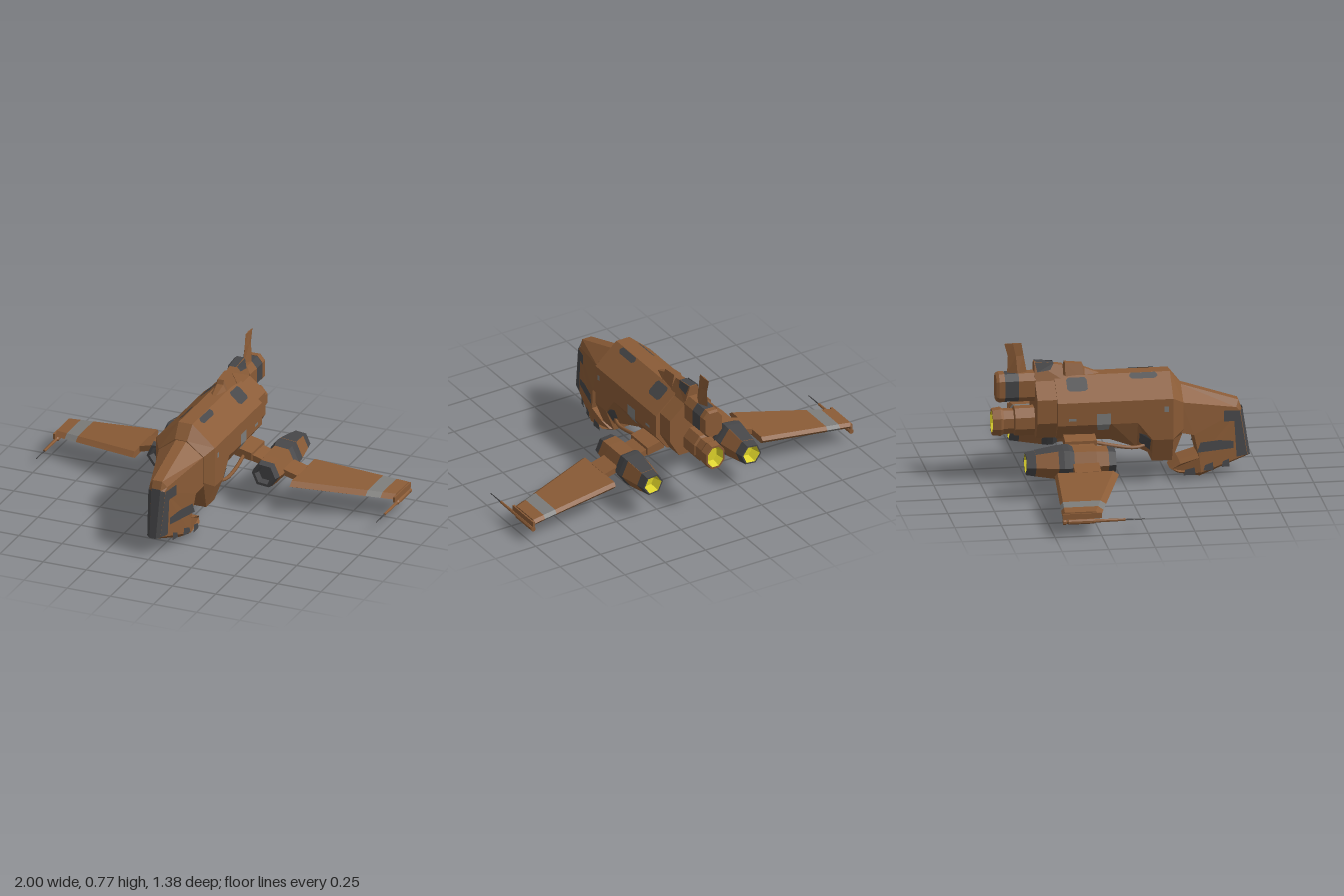
import * as THREE from 'three';

const mat = (name, color, side = THREE.FrontSide) => {
  const m = new THREE.MeshStandardMaterial({ color, side });
  m.name = name;
  return m;
};

export function createModel() {
  const model = new THREE.Group();
  const brown = mat('brown paint', 0x8a5b36);
  const dark = mat('charcoal', 0x464648, THREE.DoubleSide);
  const grey = mat('worn grey', 0x7c7c7a, THREE.DoubleSide);
  const glow = mat('engine yellow', 0xe0d52a);

  const add = (name, geo, material, parent = model) => {
    const mesh = new THREE.Mesh(geo, material);
    mesh.name = name;
    parent.add(mesh);
    return mesh;
  };
  const flat = (pos) => {
    const g = new THREE.BufferGeometry();
    g.setAttribute('position', new THREE.Float32BufferAttribute(pos, 3));
    g.computeVertexNormals();
    return g;
  };

  // Skin rings of [x, y, z] points and cap both ends; axis is the loft direction
  function loft(rings, axis) {
    const tris = [], n = rings[0].length;
    for (let r = 0; r + 1 < rings.length; r++) {
      for (let i = 0; i < n; i++) {
        const j = (i + 1) % n, a = rings[r], b = rings[r + 1];
        tris.push([a[i], a[j], b[j]], [a[i], b[j], b[i]]);
      }
    }
    const [u, v] = [[1, 2], [0, 2], [0, 1]][axis];
    const caps = (ring, flip) => {
      const pts = ring.map((p) => new THREE.Vector2(p[u], p[v]));
      const cw = THREE.ShapeUtils.isClockWise(pts);
      for (const f of THREE.ShapeUtils.triangulateShape(pts, [])) {
        const t = f.map((k) => ring[k]);
        // keep the winding of the ring itself
        const [p, q, s] = t;
        const area = (q[u] - p[u]) * (s[v] - p[v]) - (q[v] - p[v]) * (s[u] - p[u]);
        if ((area < 0) !== cw) t.reverse();
        if (flip) t.reverse();
        tris.push(t);
      }
    };
    caps(rings[0], true);
    caps(rings[rings.length - 1], false);
    // turn the solid right side out
    let vol = 0;
    const A = new THREE.Vector3(), B = new THREE.Vector3(), C = new THREE.Vector3();
    for (const [a, b, c] of tris) vol += A.fromArray(a).dot(B.fromArray(b).cross(C.fromArray(c)));
    if (vol < 0) tris.forEach((t) => t.reverse());
    return flat(tris.flat(2));
  }

  // Thin painted patch, as a fan, on both sides of the ship
  function patch(name, material, pts) {
    for (const s of [1, -1]) {
      const pos = [];
      for (let i = 1; i + 1 < pts.length; i++) {
        const t = [pts[0], pts[i], pts[i + 1]];
        pos.push(...t.flatMap(([x, y, z]) => [x * s, y, z]));
      }
      add(name, flat(pos), material);
    }
  }

  // Cross-section at z, mirrored from a half outline running top to bottom
  const section = (z, half) => [
    ...half.map(([x, y]) => [x, y, z]),
    ...half.slice().reverse().map(([x, y]) => [-x, y, z]),
  ];

  // Faceted turned part along z; points are [radius, z] from back to front
  const turned = (pts, sides = 8, sx = 1) => {
    const g = new THREE.LatheGeometry(pts.map(([r, z]) => new THREE.Vector2(r, z)), sides, Math.PI / sides)
      .rotateX(Math.PI / 2).scale(sx, 1, 1).toNonIndexed();
    g.computeVertexNormals();
    return g;
  };

  // Main hull: z, side edge height, belly half width, belly height
  const hull = [
    [0.26, 0.25, 0.12, 0.12], [0.152, 0.25, 0.12, 0.12], [0.15, 0.25, 0.12, 0.16],
    [0.07, 0.35, 0.12, 0.2], [-0.07, 0.35, 0.1, 0.245], [-0.36, 0.35, 0.1, 0.262],
  ].map(([z, low, bx, by]) => section(z, [[0.04, 0.59], [0.17, 0.475], [0.17, low], [bx, by]]));
  hull.unshift(section(0.32, [[0.035, 0.515], [0.13, 0.44], [0.13, 0.29], [0.09, 0.255]]));
  add('hull', loft(hull, 2), brown);
  const rear = [[0.04, 0.58], [0.145, 0.49], [0.145, 0.36], [0.09, 0.266]];
  add('rearHull', loft([section(-0.35, rear), section(-0.465, rear)], 2), brown);

  // Nose and drooping chin: [z, y] of the centre strip and of the sunken side face
  const w = (z) => (z < 0.35 ? 0.13 : 0.13 - (z - 0.32) * 0.27);
  const sideX = (z, y) => (y < 0.15 ? Math.min(w(z), 0.1, 0.02 + (z - 0.2) * 0.9) : w(z));
  const centre = [[0.31, 0.515], [0.63, 0.41], [0.648, 0.36], [0.69, 0.1], [0.42, 0], [0.3, 0.022],
    [0.258, 0.05], [0.31, 0.09], [0.41, 0.12], [0.38, 0.25], [0.31, 0.27]];
  const flank = [[0.31, 0.44], [0.615, 0.375], [0.635, 0.355], [0.675, 0.105], [0.42, 0.035], [0.3, 0.045],
    [0.265, 0.055], [0.31, 0.088], [0.41, 0.118], [0.38, 0.25], [0.31, 0.27]];
  const stripX = (z) => 0.03 - Math.max(0, z - 0.62) * 0.2;
  const strip = (s) => centre.map(([z, y]) => [s * (y < 0.06 ? 0.038 : stripX(z)), y, z]);
  const side = (s) => flank.map(([z, y]) => [s * sideX(z, y), y, z]);
  add('nose', loft([side(1), strip(1), strip(-1), side(-1)], 0), brown);

  // Dark nose window and chin markings
  const onNose = (pts) => pts.map(([z, y]) => [sideX(z, y) + 0.004, y, z]);
  patch('frontWindow', dark, [[0, 0.37, 0.651], [0.026, 0.37, 0.651], [0.018, 0.1, 0.694], [0, 0.1, 0.694]]);
  patch('windowEdge', dark, [[0.026, 0.365, 0.652], [0.049, 0.355, 0.638], [0.038, 0.105, 0.678], [0.018, 0.1, 0.694]]);
  patch('sideWindow', dark, onNose([[0.61, 0.3], [0.6, 0.3], [0.595, 0.325], [0.545, 0.305], [0.545, 0.365], [0.635, 0.355]]));
  patch('sideWindowPost', dark, onNose([[0.635, 0.355], [0.602, 0.33], [0.617, 0.1], [0.676, 0.105]]));
  patch('cheekPatch', dark, onNose([[0.6, 0.19], [0.52, 0.205], [0.415, 0.205], [0.395, 0.151], [0.6, 0.151]]));
  for (const [z, y, d] of [[0.555, 0.05, 0.022], [0.46, 0.042, 0.029], [0.357, 0.022, 0.033]]) {
    patch('chinWindow', dark, [[z + d * 0.8, y + 0.045], [z - d * 0.7, y + 0.034], [z - d, y + 0.004], [z + d, y + 0.002]]
      .map(([a, b]) => [Math.min(w(a), 0.1) + 0.004, b, a]));
  }

  // Hull paint patches
  const shoulder = (x, z) => [x + 0.003, 0.59 - (x - 0.04) * 0.885 + 0.003, z];
  const shoulderPatch = (x0, x1, z0, z1) => patch('shoulderPatch', dark, [
    shoulder(x0, z0 - 0.01), shoulder(x0 + 0.01, z0), shoulder(x1 - 0.01, z0), shoulder(x1, z0 - 0.015),
    shoulder(x1, z1 + 0.015), shoulder(x1 - 0.01, z1), shoulder(x0 + 0.01, z1), shoulder(x0, z1 + 0.01)]);
  shoulderPatch(0.042, 0.07, 0.19, 0.04);
  shoulderPatch(0.052, 0.117, -0.19, -0.3);
  patch('wornPatch', grey, [[0.173, 0.41, -0.075], [0.173, 0.41, -0.15], [0.173, 0.35, -0.15], [0.173, 0.35, -0.075]]);
  patch('wornPatchLower', grey, [[0.173, 0.35, -0.08], [0.173, 0.35, -0.15], [0.152, 0.315, -0.145], [0.152, 0.315, -0.085]]);
  patch('wornSpot', grey, [[0.173, 0.435, 0.235], [0.173, 0.435, 0.212], [0.173, 0.405, 0.212], [0.173, 0.405, 0.235]]);
  patch('wornDash', grey, [[0.173, 0.39, -0.26], [0.173, 0.39, -0.3], [0.173, 0.375, -0.3], [0.173, 0.375, -0.26]]);
  patch('bellyVent', dark, [[0.169, 0.253, 0.14], [0.167, 0.28, 0.115], [0.161, 0.29, 0.08], [0.14, 0.235, 0.08], [0.136, 0.187, 0.138]]);

  // Dorsal spine in two steps
  const spine = (z, y, b, t) => section(z, [[t, y], [b, 0.57]]);
  add('frontSpine', loft([spine(-0.11, 0.588, 0.035, 0.01), spine(-0.195, 0.622, 0.045, 0.018),
    spine(-0.205, 0.645, 0.045, 0.018), spine(-0.3, 0.655, 0.05, 0.02), spine(-0.315, 0.605, 0.05, 0.02)], 2), brown);
  add('rearSpine', loft([spine(-0.312, 0.645, 0.055, 0.018), spine(-0.465, 0.667, 0.055, 0.022)], 2), brown);
  patch('spinePatch', dark, [[0.025, 0.659, -0.36], [0.027, 0.667, -0.462], [0.041, 0.615, -0.45], [0.038, 0.625, -0.38]]);
  patch('spineTopPatch', dark, [[0, 0.656, -0.36], [0.02, 0.656, -0.36], [0.022, 0.67, -0.462], [0, 0.67, -0.462]]);

  // Tail block with a dark band, then the fin
  const tail = (z, k = 1) => section(z, [[0.028 * k, 0.53 + 0.08 * k], [0.057 * k, 0.53 + 0.045 * k],
    [0.057 * k, 0.53 - 0.045 * k], [0.03 * k, 0.53 - 0.075 * k]]);
  add('tailBlock', loft([tail(-0.46), tail(-0.55)], 2), brown);
  add('tailBand', loft([tail(-0.55), tail(-0.625, 0.98)], 2), dark);
  add('tailEnd', loft([tail(-0.625), tail(-0.655), tail(-0.67, 0.9)], 2), brown);
  const finRing = (y, zf, zb, h) => [[0, y, zf], [h, y, (zf + zb) / 2], [0, y, zb], [-h, y, (zf + zb) / 2]];
  add('fin', loft([finRing(0.6, -0.5, -0.607, 0.026), finRing(0.7, -0.518, -0.603, 0.008),
    finRing(0.77, -0.53, -0.622, 0.004)], 1), brown);

  // Central engine
  const core = new THREE.Group();
  core.name = 'centralEngine';
  core.position.y = 0.34;
  model.add(core);
  const corePart = (name, pts, material) => add(name, turned(pts, 8, 0.82), material, core);
  corePart('engineBody', [[0, -0.58], [0.065, -0.58], [0.082, -0.57], [0.082, -0.46]], brown);
  corePart('engineNozzle', [[0.062, -0.69], [0.074, -0.69], [0.08, -0.645], [0.07, -0.63], [0.07, -0.57]], brown);
  corePart('engineGlow', [[0, -0.645], [0.045, -0.645], [0.063, -0.69]], glow);

  // Wing cross-section at a given x
  const wingRing = (x) => {
    const t = (x - 0.455) / 0.53, zf = -0.075 - 0.175 * t, zb = -0.42 - 0.04 * t;
    const y = 0.163 - 0.05 * t, h = 0.019 - 0.002 * t;
    return [[x, y - 0.004, zf], [x, y + h, zf - 0.03], [x, y + h, zb + 0.015],
      [x, y, zb], [x, y - h, zb + 0.015], [x, y - h, zf - 0.03]];
  };
  const stubRing = (x, y, h, zf, zb) => [[x, y + h, zf], [x, y + h, zb], [x, y - h, zb], [x, y - h, zf]];

  for (const s of [1, -1]) {
    const m = (rings) => loft(rings.map((r) => r.map(([x, y, z]) => [x * s, y, z])), 0);
    const sideName = s > 0 ? 'left' : 'right';
    const wing = new THREE.Group();
    wing.name = sideName + 'Wing';
    model.add(wing);

    // Stub, wing panels, tip cap and the pipe from the belly vent
    add('wingRoot', m([stubRing(0.1, 0.27, 0.025, -0.155, -0.325), stubRing(0.2, 0.25, 0.022, -0.155, -0.325)]), brown, wing);
    add('wingStub', m([stubRing(0.14, 0.255, 0.018, -0.17, -0.31), stubRing(0.46, 0.167, 0.016, -0.17, -0.31)]), brown, wing);
    add('innerPanel', m([wingRing(0.455), wingRing(0.84)]), brown, wing);
    add('wingStripe', m([wingRing(0.84), wingRing(0.915)]), grey, wing);
    add('outerPanel', m([wingRing(0.915), wingRing(0.983)]), brown, wing);
    add('tipCap', new THREE.BoxGeometry(0.012, 0.03, 0.21).translate(s * 0.985, 0.108, -0.352), brown, wing);
    const bend = new THREE.CatmullRomCurve3([[0.135, 0.215, 0.11], [0.15, 0.208, 0.06], [0.157, 0.225, -0.05],
      [0.15, 0.25, -0.17]].map(([x, y, z]) => new THREE.Vector3(x * s, y, z)));
    add('bellyPipe', new THREE.TubeGeometry(bend, 8, 0.01, 6), brown, wing);

    // Wingtip gun
    const gun = new THREE.Group();
    gun.name = sideName + 'Gun';
    gun.position.set(s * 0.986, 0.078, 0);
    model.add(gun);
    add('gunBody', turned([[0, -0.455], [0.014, -0.455], [0.014, -0.44], [0.008, -0.435], [0.014, -0.425],
      [0.014, -0.29], [0.009, -0.28], [0.007, -0.12], [0, -0.12]]), brown, gun);
    add('gunBarrel', turned([[0.004, -0.13], [0.0025, -0.015], [0, -0.015]], 6), dark, gun);

    // Six-sided engine nacelle, tilted with the wing, from intake to glowing exhaust
    const pod = new THREE.Group();
    pod.name = sideName + 'Nacelle';
    pod.position.set(s * 0.305, 0.195, 0);
    pod.rotation.z = -0.1 * s;
    model.add(pod);
    const part = (name, pts, material) => add(name, turned(pts, 6), material, pod);
    part('intakeRim', [[0.077, -0.115], [0.068, -0.075], [0.052, -0.075], [0.042, -0.11], [0, -0.11]], dark);
    part('frontCowl', [[0.082, -0.3], [0.082, -0.18], [0.077, -0.115]], brown);
    part('darkCollar', [[0.091, -0.385], [0.096, -0.355], [0.096, -0.325], [0.082, -0.3]], dark);
    part('rearCowl', [[0.07, -0.505], [0.091, -0.385]], brown);
    part('nozzle', [[0.052, -0.555], [0.061, -0.555], [0.07, -0.505]], dark);
    part('exhaustGlow', [[0, -0.5], [0.036, -0.5], [0.054, -0.555]], glow);
    const [a, b, c, d] = [[-0.035, 0.063, -0.505], [0.035, 0.063, -0.505], [0.045, 0.081, -0.385], [-0.045, 0.081, -0.385]];
    add('topCowlPatch', flat([a, b, c, a, c, d].flat()), dark, pod);
  }
  return model;
}
